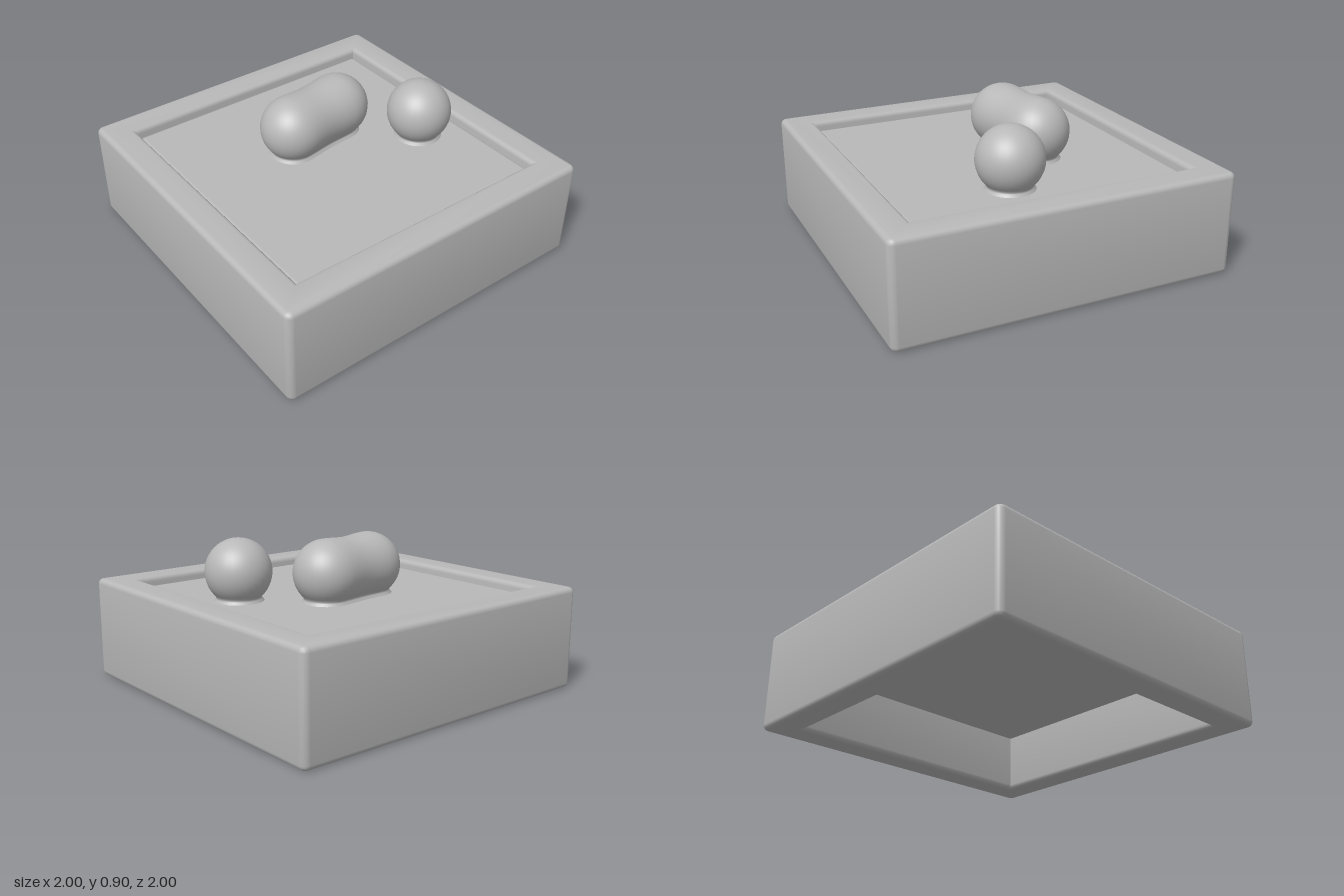
import * as THREE from 'three';
import { mergeVertices, toCreasedNormals } from 'three/addons/utils/BufferGeometryUtils.js';
import { RoundedBoxGeometry } from 'three/addons/geometries/RoundedBoxGeometry.js';
import { ParametricGeometry } from 'three/addons/geometries/ParametricGeometry.js';

const grey = new THREE.MeshStandardMaterial({ color: 0xb8b8b8 });
grey.name = 'grey';

const R = 0.19; // radius of the knobs
const KNOB_Y = 0.715;
const PANEL_TOP = 0.55;
const PANEL_BOTTOM = 0.35;

function addMesh(group, name, geometry) {
  const mesh = new THREE.Mesh(geometry, grey);
  mesh.name = name;
  group.add(mesh);
  return mesh;
}

// Square outline with rounded corners
function roundedSquare(target, half, r) {
  const k = half - r;
  target.moveTo(half, -k);
  target.absarc(k, k, r, 0, Math.PI / 2);
  target.absarc(-k, k, r, Math.PI / 2, Math.PI);
  target.absarc(-k, -k, r, Math.PI, Math.PI * 1.5);
  target.absarc(k, -k, r, Math.PI * 1.5, Math.PI * 2);
  target.closePath();
  return target;
}

// Hollow square frame, open at the top and bottom, with softened edges
function frameGeometry() {
  const bevel = 0.03;
  const shape = roundedSquare(new THREE.Shape(), 1, 0.04);
  const h = 0.82;
  const hole = new THREE.Path();
  hole.moveTo(-h, -h).lineTo(-h, h).lineTo(h, h).lineTo(h, -h).closePath();
  shape.holes.push(hole);
  const geometry = new THREE.ExtrudeGeometry(shape, {
    depth: 0.6 - 2 * bevel,
    bevelEnabled: true,
    bevelSize: bevel,
    bevelThickness: bevel,
    bevelOffset: -bevel,
    bevelSegments: 4,
    curveSegments: 6,
  });
  geometry.translate(0, 0, bevel);
  geometry.rotateX(-Math.PI / 2);
  return toCreasedNormals(geometry, 0.6);
}

// Ball stretched along x by a half length, pinched at the waist, with a flared foot
function knobGeometry(halfLength, pinch) {
  const profile = [[0.15, -0.18], [0.142, -0.165], [0.13, -0.152], [0.128, -0.142]];
  for (let i = 0; i <= 20; i++) {
    const a = -0.75 + (i / 20) * (Math.PI / 2 + 0.75);
    profile.push([i === 20 ? 0 : R * Math.cos(a), R * Math.sin(a)]);
  }
  const rows = profile.length - 1;
  const geometry = new ParametricGeometry((u, v, target) => {
    const [r, y] = profile[Math.round(v * rows)];
    const side = Math.min(Math.floor(u * 4), 3);
    const t = u * 4 - side;
    // Alternate half circles and straight sides around the outline
    const centre = [1, 1 - 2 * t, -1, 2 * t - 1][side];
    const angle = [-0.5 + t, 0.5, 0.5 + t, 1.5][side] * Math.PI;
    const waist = 1 - pinch * Math.cos(centre * Math.PI / 2) ** 2;
    target.set(
      centre * halfLength + r * Math.cos(angle),
      y > 0 ? y * waist : y,
      -r * Math.sin(angle) * waist,
    );
  }, 64, rows);
  geometry.deleteAttribute('normal');
  geometry.deleteAttribute('uv');
  const merged = mergeVertices(geometry, 1e-5);
  merged.computeVertexNormals();
  return merged;
}

export function createModel() {
  const group = new THREE.Group();
  group.name = 'panelSwitch';

  addMesh(group, 'frame', frameGeometry());

  // Recessed panel; its rounded corners leave small gaps in the frame
  const thickness = PANEL_TOP - PANEL_BOTTOM;
  const panel = addMesh(group, 'panel', new RoundedBoxGeometry(1.642, thickness, 1.642, 4, 0.035));
  panel.position.y = PANEL_BOTTOM + thickness / 2;

  const roundKnob = addMesh(group, 'roundKnob', knobGeometry(0, 0));
  roundKnob.position.set(0.55, KNOB_Y, 0.15);

  const longKnob = addMesh(group, 'longKnob', knobGeometry(0.175, 0.05));
  longKnob.position.set(0.022, KNOB_Y, -0.172);
  longKnob.rotation.y = 0.13;

  return group;
}
